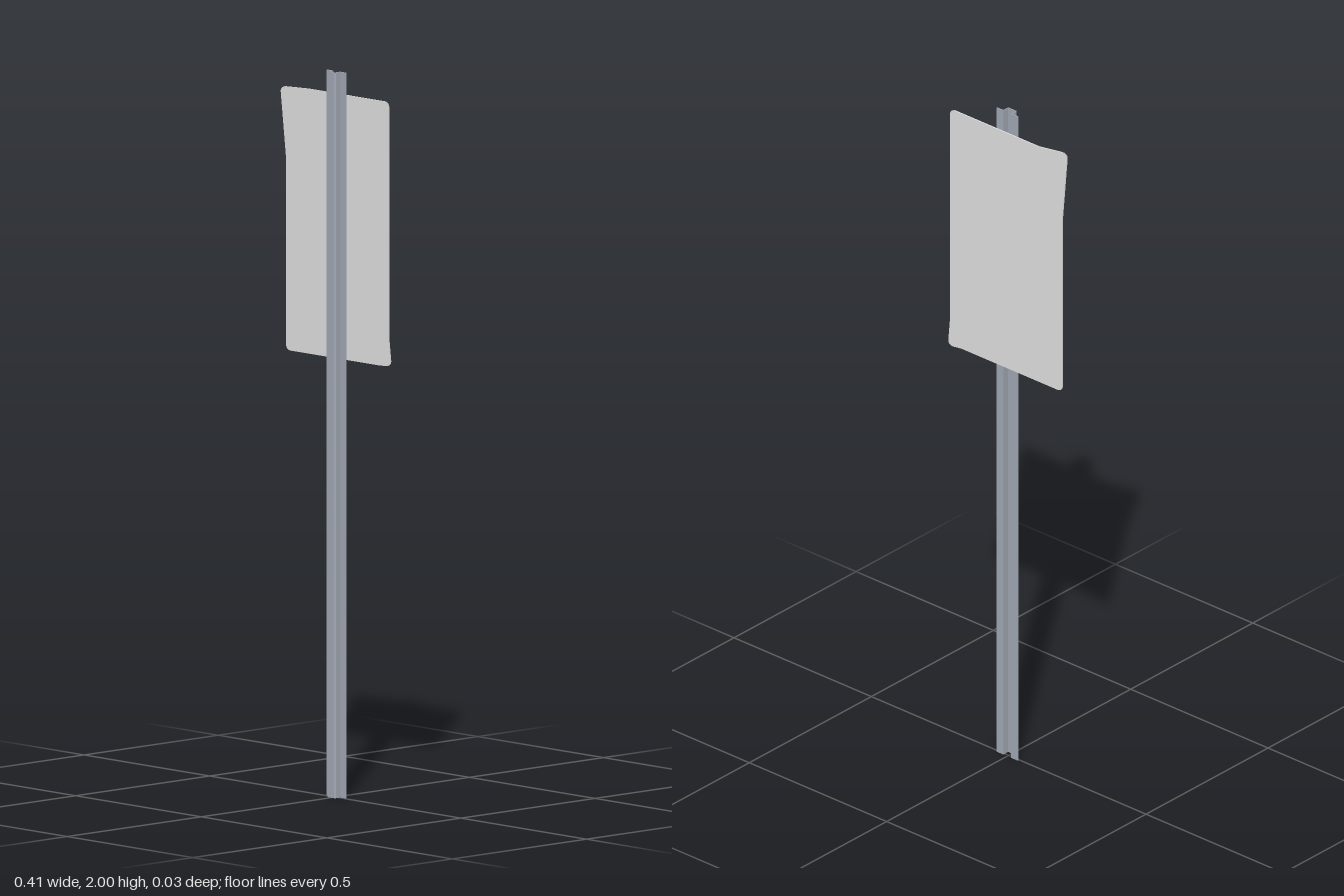
import * as THREE from 'three';

const POST = { height: 2, flange: 0.0385, channel: 0.0165, back: -0.006, front: 0.0165, wall: 0.0027 };
const SIGN = { halfW: 0.204, halfH: 0.365, midY: 1.573, z: -0.009, thick: 0.0032, radius: 0.016 };

// Hat-section post: two flanges at the back and an open channel to the front
function createPost(material) {
  const { height, flange, channel, back, front, wall } = POST;
  const half = [
    [channel - wall, back], [flange, back], [flange, back + wall],
    [channel, back + wall], [channel, front - 0.003], [channel - 0.003, front],
  ];
  const inner = [channel - wall, front - wall];
  const right = [inner, ...half];
  const left = right.map(([x, z]) => [-x, z]).reverse();
  const shape = new THREE.Shape([...right, ...left].map(([x, z]) => new THREE.Vector2(x, -z)));
  const geometry = new THREE.ExtrudeGeometry(shape, { depth: height, bevelEnabled: false });
  geometry.rotateX(-Math.PI / 2);
  const post = new THREE.Mesh(geometry, material);
  post.name = 'post';
  return post;
}

// Bend of a corner: grows linearly from a diagonal fold line to the tip
function cornerBend(dx, dy, reachX, reachY, depth) {
  return depth * Math.max(0, 1 - dx / reachX - dy / reachY);
}

// Thin rounded plate with two bent corners; it keeps the flat normals so the folds shade softly
function createSignPlate(material) {
  const { halfW, halfH, midY, z, thick, radius } = SIGN;
  const geometry = new THREE.BoxGeometry(2, 2, thick, 48, 72, 1);
  const p = geometry.attributes.position;
  for (let i = 0; i < p.count; i++) {
    // Rows crowd towards the ends so that the corner arcs stay round
    const y = halfH * Math.sin(p.getY(i) * Math.PI / 2);
    const into = Math.max(0, Math.abs(y) - (halfH - radius));
    const inset = radius - Math.sqrt(Math.max(0, radius * radius - into * into));
    const x = p.getX(i) * (halfW - inset);
    const bend = cornerBend(halfW + x, halfH - y, 0.088, 0.2, 0.0215)
      - cornerBend(halfW - x, halfH + y, 0.042, 0.08, 0.009);
    p.setXYZ(i, x, y, p.getZ(i) + bend);
  }
  const plate = new THREE.Mesh(geometry, material);
  plate.name = 'signPlate';
  plate.position.set(0, midY, z);
  return plate;
}

export function createModel() {
  const postSteel = new THREE.MeshStandardMaterial({ color: 0xa2a9b5 });
  postSteel.name = 'post steel';
  const plateGrey = new THREE.MeshStandardMaterial({ color: 0xe2e2e2 });
  plateGrey.name = 'plate grey';

  const model = new THREE.Group();
  model.name = 'signPost';
  model.add(createPost(postSteel), createSignPlate(plateGrey));
  return model;
}
